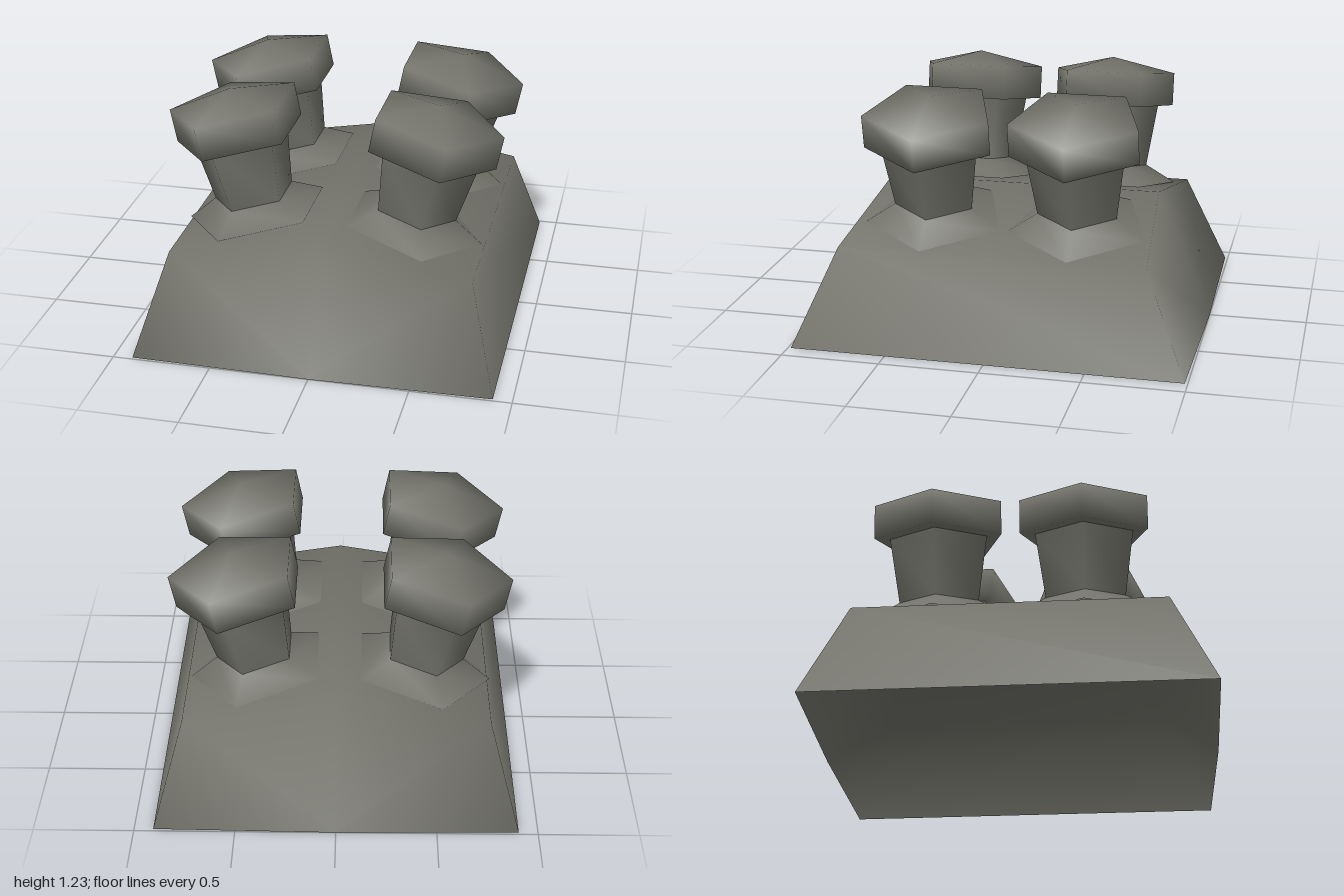
import * as THREE from 'three';
import { mergeVertices } from 'three/addons/utils/BufferGeometryUtils.js';

const stone = new THREE.MeshStandardMaterial({ color: 0x73736b, side: THREE.DoubleSide });
stone.name = 'dark grey stone';

// Weld a geometry and shade it smoothly
function smooth(geometry) {
  geometry.deleteAttribute('normal');
  geometry.deleteAttribute('uv');
  const welded = mergeVertices(geometry, 1e-4);
  welded.computeVertexNormals();
  return welded;
}

function part(name, geometry) {
  const mesh = new THREE.Mesh(geometry, stone);
  mesh.name = name;
  return mesh;
}

// Five-sided turned part with one corner pointing outwards
function pentagonal(name, profile, side) {
  const points = profile.map(([r, y]) => new THREE.Vector2(r, y));
  return part(name, smooth(new THREE.LatheGeometry(points, 5, side * Math.PI / 2)));
}

// Hollow mound with a ridged top, open underneath
function createMound() {
  // x, y, z of the front section; the back one is its mirror
  const section = [
    [-0.905, 0, 0.985], [-0.76, 0.5, 0.77], [0, 0.655, 0.715],
    [0.76, 0.5, 0.77], [0.905, 0, 0.985], [0, 0, 1],
  ];
  const positions = [];
  for (const s of [1, -1]) for (const [x, y, z] of section) positions.push(x, y, s * z);
  const index = [];
  // Sides and roof
  for (let i = 0; i < 4; i++) index.push(i, i + 1, i + 7, i, i + 7, i + 6);
  // End faces fanned from the middle of the lower edge
  for (let i = 0; i < 4; i++) {
    index.push(5, i + 1, i);
    index.push(11, i + 6, i + 7);
  }
  const geometry = new THREE.BufferGeometry();
  geometry.setAttribute('position', new THREE.Float32BufferAttribute(positions, 3));
  geometry.setIndex(index);
  geometry.computeVertexNormals();
  return part('mound', geometry);
}

// Post with flared foot and domed cap, leaning outwards
function createPost(side) {
  const post = new THREE.Group();
  post.name = side > 0 ? 'leftPost' : 'rightPost';
  post.add(
    pentagonal('foot', [[0.367, -0.09], [0.21, 0]], side),
    pentagonal('stem', [[0.21, 0], [0.26, 0.34]], side),
    pentagonal('cap', [[0.22, 0.33], [0.338, 0.33], [0.338, 0.503], [0, 0.578]], side),
  );
  post.rotation.z = -side * 0.2;
  return post;
}

export function createModel() {
  const model = new THREE.Group();
  model.name = 'moundWithPosts';
  model.add(createMound());
  for (const side of [1, -1]) {
    for (const z of [0.36, -0.375]) {
      const post = createPost(side);
      post.position.set(-0.013 + side * 0.418, 0.663, z);
      model.add(post);
    }
  }
  return model;
}
